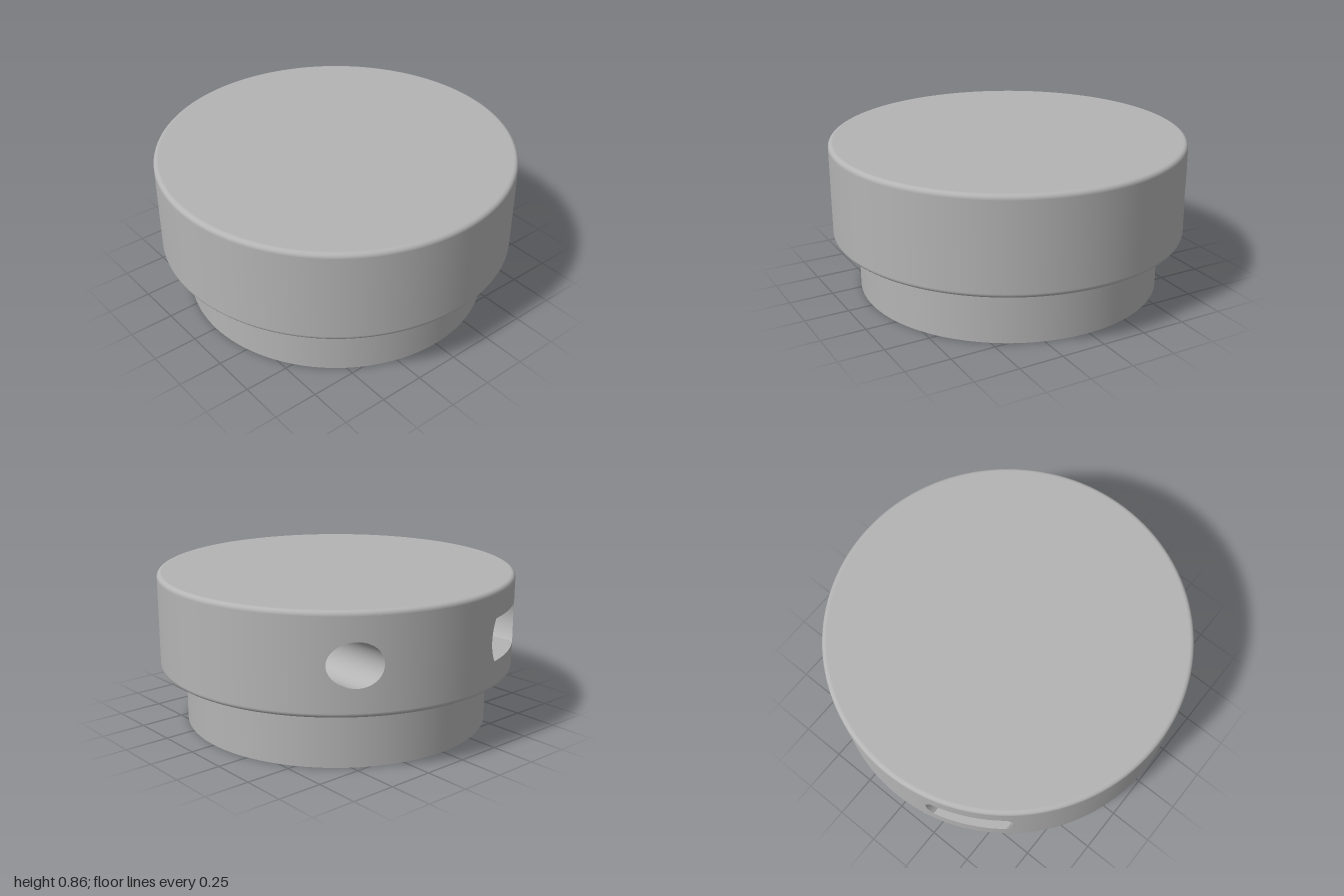
import * as THREE from 'three';
import { toCreasedNormals } from 'three/addons/utils/BufferGeometryUtils.js';

const R = 1, Y0 = 0.318, Y1 = 0.858, FILLET = 0.025, FOOT_R = 0.86;
const MID = 0.588, END_Z = -0.3, SEG = 128;

// Openings bored straight in from the back: centre, radius, half height
const ports = [
  { name: 'roundPort', x: 0.573, r: 0.117, h: 0.117 },
  { name: 'wideSlot', x: -0.44, r: 0.216, h: 0.117 },
];
const backZ = x => -Math.sqrt(R * R - x * x);

function makeGeometry(positions, index, normals) {
  const g = new THREE.BufferGeometry();
  g.setAttribute('position', new THREE.Float32BufferAttribute(positions, 3));
  if (normals) g.setAttribute('normal', new THREE.Float32BufferAttribute(normals, 3));
  g.setIndex(index);
  return g;
}

// Round outline with its top and bottom cut flat
function outline({ x, r, h }, n = 64) {
  return Array.from({ length: n }, (_, i) => {
    const t = (i / n) * Math.PI * 2;
    const y = THREE.MathUtils.clamp(r * Math.sin(t), -h, h);
    return new THREE.Vector2(x + r * Math.cos(t), MID + y);
  });
}

// Outer wall in upright columns, each split above and below an opening
function wallGeometry() {
  const angles = Array.from({ length: SEG + 1 }, (_, i) => (i / SEG) * Math.PI * 2);
  for (const p of ports)
    for (let i = 0; i <= 32; i++) angles.push(Math.acos(p.x + p.r * Math.cos((i / 32) * Math.PI)));
  angles.sort((a, b) => a - b);
  const gap = x => Math.max(...ports.map(p =>
    Math.min(p.h, Math.sqrt(Math.max(0, p.r ** 2 - (x - p.x) ** 2)))));
  const pos = [], nor = [], idx = [];
  angles.forEach((a, i) => {
    const x = Math.cos(a), z = -Math.sin(a);
    const g = z < 0 ? gap(x) : 0;
    for (const y of [Y0 + FILLET, MID - g, MID + g, Y1 - FILLET]) {
      pos.push(R * x, y, R * z);
      nor.push(x, 0, z);
    }
    if (i === 0) return;
    for (const row of [0, 2]) {
      const b = i * 4 + row, c = b - 4;
      idx.push(c, b, b + 1, c, b + 1, c + 1);
    }
  });
  return makeGeometry(pos, idx, nor);
}

// Inner walls of an opening, from the curved face to its flat end
function tunnelGeometry(pts) {
  const pos = [], idx = [], n = pts.length;
  pts.forEach((p, i) => {
    pos.push(p.x, p.y, backZ(p.x), p.x, p.y, END_Z);
    const a = 2 * i, b = 2 * ((i + 1) % n);
    idx.push(a, a + 1, b, b, a + 1, b + 1);
  });
  return toCreasedNormals(makeGeometry(pos, idx), 0.5);
}

// Rounded rim; angles run upward along the profile
function rimGeometry(cy, from, to) {
  const pts = [];
  for (let i = 0; i <= 8; i++) {
    const t = from + ((to - from) * i) / 8;
    pts.push(new THREE.Vector2(R - FILLET + FILLET * Math.cos(t), cy + FILLET * Math.sin(t)));
  }
  return new THREE.LatheGeometry(pts, SEG);
}

export function createModel() {
  const model = new THREE.Group();
  const grey = new THREE.MeshStandardMaterial({ color: 0xb4b4b4, side: THREE.DoubleSide });
  grey.name = 'grey';
  const add = (name, geometry, parent = model) => {
    const mesh = new THREE.Mesh(geometry, grey);
    mesh.name = name;
    parent.add(mesh);
    return mesh;
  };

  // Main drum
  add('outerWall', wallGeometry());
  add('topRim', rimGeometry(Y1 - FILLET, 0, Math.PI / 2));
  add('bottomRim', rimGeometry(Y0 + FILLET, -Math.PI / 2, 0));
  add('topFace', new THREE.CircleGeometry(R - FILLET, SEG).rotateX(-Math.PI / 2).translate(0, Y1, 0));
  add('underside', new THREE.RingGeometry(FOOT_R, R - FILLET, SEG).rotateX(Math.PI / 2).translate(0, Y0, 0));

  // Narrower foot
  add('foot', new THREE.CylinderGeometry(FOOT_R, FOOT_R, Y0, SEG).translate(0, Y0 / 2, 0));

  // Openings in the back
  for (const p of ports) {
    const group = new THREE.Group();
    group.name = p.name;
    model.add(group);
    const pts = outline(p);
    add(p.name + 'Wall', tunnelGeometry(pts), group);
    const end = new THREE.ShapeGeometry(new THREE.Shape(pts)).rotateY(Math.PI);
    end.scale(-1, 1, 1).translate(0, 0, END_Z);
    // Mirroring flips the faces, so restore their order
    end.setIndex(Array.from(end.index.array).reverse());
    add(p.name + 'End', end, group);
  }
  return model;
}
